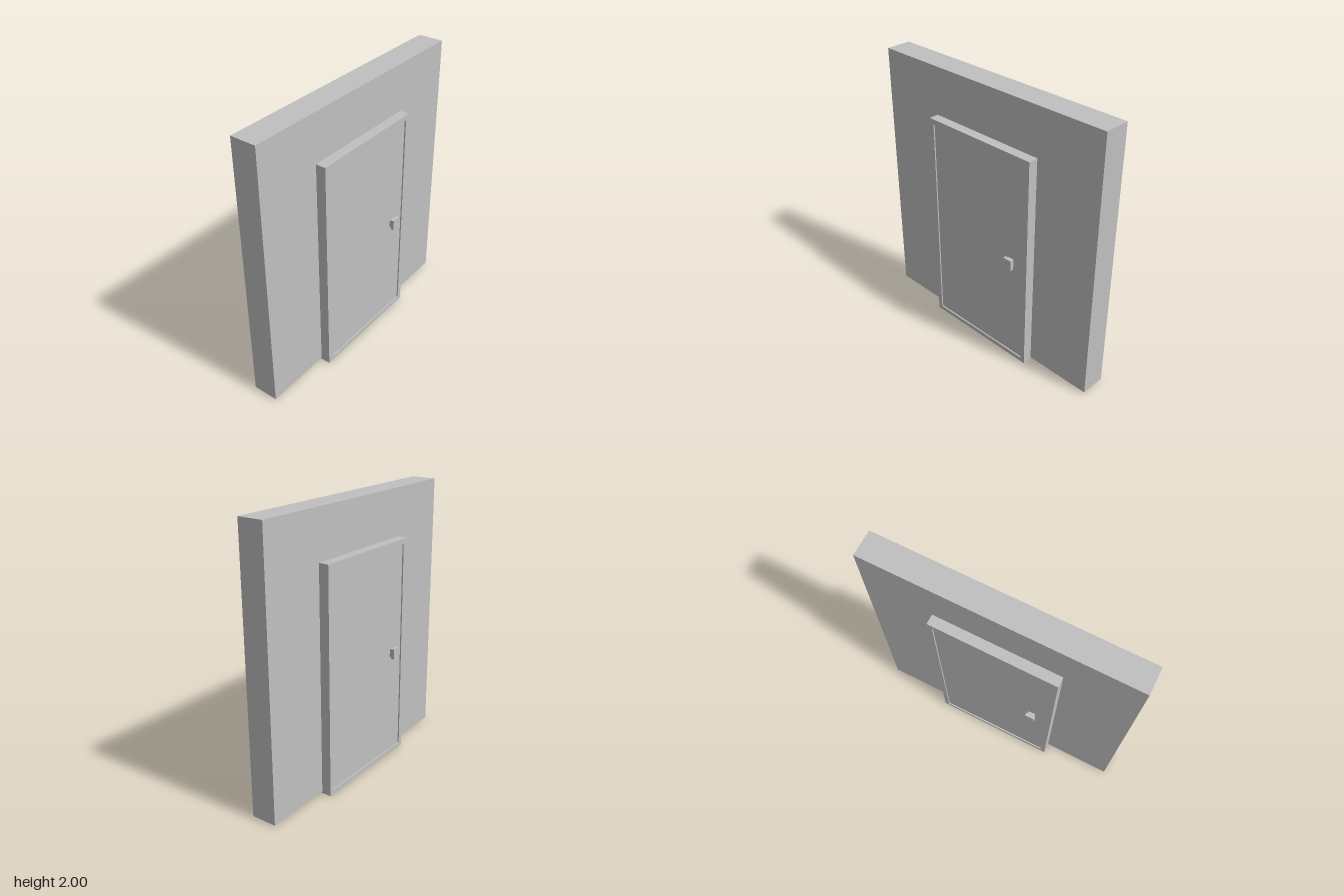
import * as THREE from 'three';

const grey = new THREE.MeshStandardMaterial({ color: 0xc0c0c0 });
grey.name = 'plain grey';

// Closed outline from corner points given as [across, up]
const corners = (points) => points.map(([a, b]) => new THREE.Vector2(a, b));

// Extrudes an outline through the wall thickness, centred on x = 0
function slab(name, outline, thickness, hole) {
  const shape = new THREE.Shape(corners(outline));
  if (hole) shape.holes.push(new THREE.Path(corners(hole)));
  const geometry = new THREE.ExtrudeGeometry(shape, { depth: thickness, bevelEnabled: false });
  geometry.translate(0, 0, -thickness / 2).rotateY(Math.PI / 2);
  const mesh = new THREE.Mesh(geometry, grey);
  mesh.name = name;
  return mesh;
}

function box(name, size, position) {
  const mesh = new THREE.Mesh(new THREE.BoxGeometry(...size), grey);
  mesh.name = name;
  mesh.position.set(...position);
  return mesh;
}

const rect = (halfWidth, bottom, top) => [
  [-halfWidth, bottom], [halfWidth, bottom], [halfWidth, top], [-halfWidth, top],
];

export function createModel() {
  const model = new THREE.Group();
  model.name = 'doorInWall';

  const wallHalf = 0.957, wallBottom = 0.011;
  const frameHalf = 0.457, frameTop = 1.65;
  const doorHalf = 0.422, doorBottom = 0.033, doorTop = 1.613;

  // Wall with an opening for the door frame
  model.add(slab('wall', [
    [-wallHalf, wallBottom], [-frameHalf, wallBottom], [-frameHalf, frameTop],
    [frameHalf, frameTop], [frameHalf, wallBottom], [wallHalf, wallBottom],
    [wallHalf, 2], [-wallHalf, 2],
  ], 0.188));

  // Frame standing proud of both wall faces
  model.add(slab('doorFrame', rect(frameHalf, 0, frameTop), 0.333, rect(doorHalf, doorBottom, doorTop)));

  // Door leaf, slightly recessed in the frame
  model.add(box('doorPanel', [0.313, doorTop - doorBottom, doorHalf * 2],
    [0, (doorTop + doorBottom) / 2, 0]));

  // A square knob on a short stem, on each face at opposite ends
  for (const side of [1, -1]) {
    const knob = new THREE.Group();
    knob.name = side > 0 ? 'leftKnob' : 'rightKnob';
    knob.add(box('knobStem', [0.024, 0.06, 0.048], [side * 0.165, 0, 0]));
    knob.add(box('knobPlate', [0.024, 0.08, 0.068], [side * 0.186, 0, 0]));
    knob.position.set(0, 0.825, -side * 0.307);
    model.add(knob);
  }

  return model;
}
